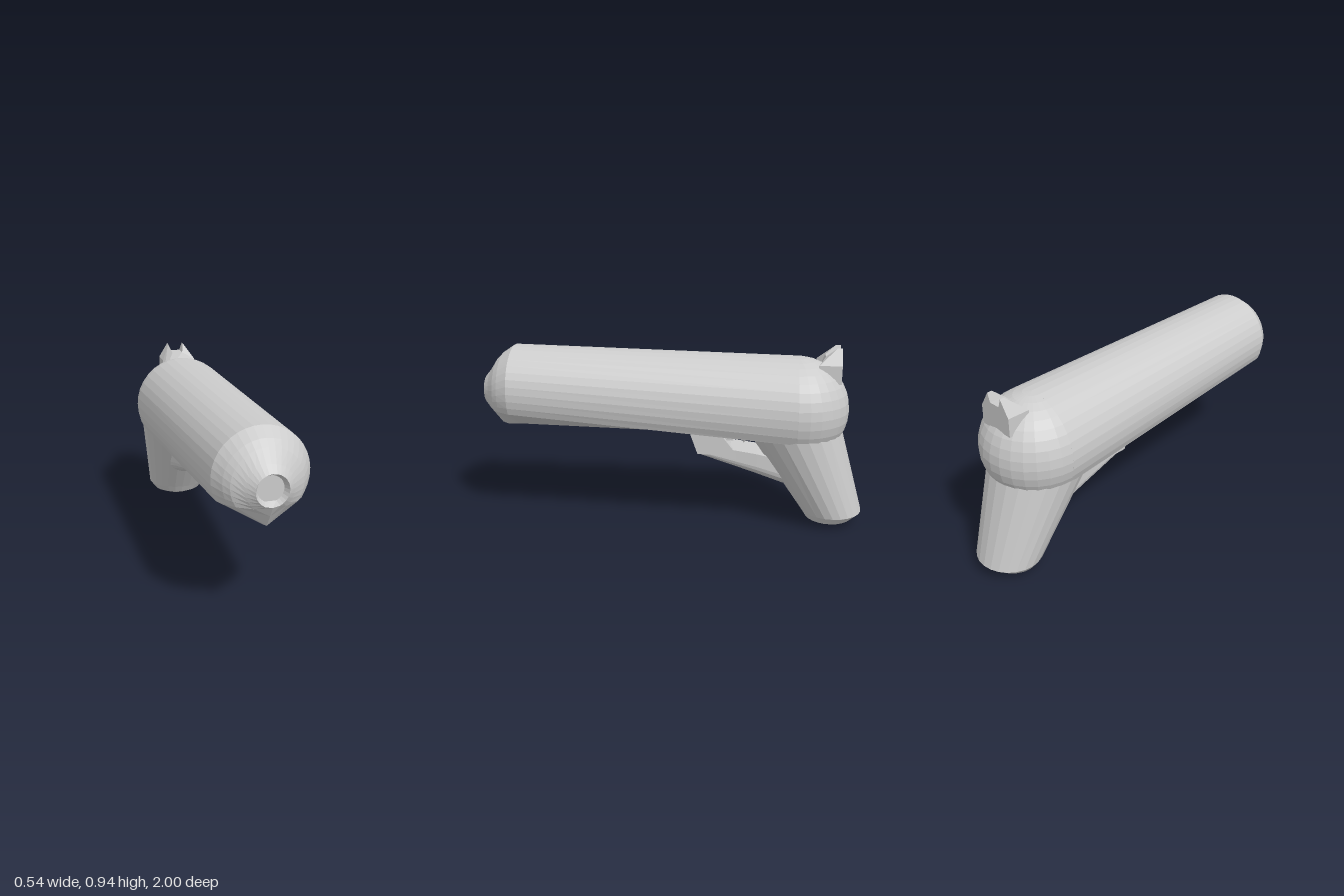
import * as THREE from 'three';

const material = new THREE.MeshStandardMaterial({ color: 0xcccccc, flatShading: true });

// Skins closed rings of points and closes both ends with fans.
function loft(rings) {
  const n = rings[0].length;
  const pos = rings.flat(2);
  const index = [];
  for (let i = 0; i < rings.length - 1; i++) {
    for (let j = 0; j < n; j++) {
      const a = i * n + j, b = i * n + (j + 1) % n;
      index.push(a, a + n, b, b, a + n, b + n);
    }
  }
  for (const [k, flip] of [[0, false], [rings.length - 1, true]]) {
    const c = pos.length / 3;
    for (let d = 0; d < 3; d++) pos.push(rings[k].reduce((s, p) => s + p[d], 0) / n);
    for (let j = 0; j < n; j++) {
      const a = k * n + j, b = k * n + (j + 1) % n;
      index.push(c, flip ? b : a, flip ? a : b);
    }
  }
  const g = new THREE.BufferGeometry();
  g.setAttribute('position', new THREE.Float32BufferAttribute(pos, 3));
  g.setIndex(index);
  g.computeVertexNormals();
  return g;
}

// Round-topped section with a shallow V keel underneath.
function bodyRing([z, cy, r, edgeY, keelY]) {
  const a = Math.asin(Math.max(-0.9, (edgeY - cy) / r));
  const ring = [];
  for (let i = 0; i <= 24; i++) {
    const t = a + (Math.PI - 2 * a) * i / 24;
    ring.push([r * Math.cos(t), cy + r * Math.sin(t), z]);
  }
  ring.push([0, keelY, z]);
  return ring;
}

function gripRing([y, cz, rx, rz]) {
  return Array.from({ length: 24 }, (_, i) => {
    const t = i / 24 * Math.PI * 2;
    return [rx * Math.cos(t), y, cz - rz * Math.sin(t)];
  });
}

// Flat-topped section with a rounded belly.
function guardRing([z, w, top, bottom, depth]) {
  const ring = [[w, top, z], [-w, top, z]];
  for (let i = 0; i <= 10; i++) {
    const t = Math.PI + Math.PI * i / 10;
    ring.push([w * Math.cos(t), bottom + depth * (1 + Math.sin(t)), z]);
  }
  return ring;
}

function polygon(points) {
  return new THREE.Shape(points.map(([x, y]) => new THREE.Vector2(x, y)));
}

export function createModel() {
  const model = new THREE.Group();
  const add = (name, geometry, x = 0, y = 0, z = 0) => {
    const mesh = new THREE.Mesh(geometry, material);
    mesh.name = name;
    mesh.position.set(x, y, z);
    model.add(mesh);
    return mesh;
  };

  // Tapered barrel, domed nose with a chin, and a shallow muzzle recess
  add('barrel', loft([
    [0.97, 0.685, 0.06, 0.6, 0.63],
    [1.0, 0.685, 0.075, 0.6, 0.61],
    [0.97, 0.685, 0.11, 0.6, 0.56],
    [0.93, 0.69, 0.165, 0.6, 0.5],
    [0.9, 0.695, 0.19, 0.6, 0.49],
    [0.84, 0.7, 0.225, 0.6, 0.492],
    [-0.635, 0.62, 0.27, 0.49, 0.46],
  ].map(bodyRing)));

  // Round rear end
  add('rearDome', new THREE.SphereGeometry(0.27, 28, 18), 0, 0.62, -0.635);

  // Raked grip with a rounded butt
  add('grip', loft([
    [0.52, -0.622, 0.245, 0.252],
    [0.07, -0.84, 0.172, 0.16],
    [0.03, -0.83, 0.14, 0.125],
    [0.008, -0.825, 0.085, 0.075],
    [0, -0.82, 0.03, 0.03],
  ].map(gripRing)));

  // Trigger guard: rounded bar running back into the grip
  add('triggerGuard', loft([
    [-0.13, 0.085, 0.395, 0.365, 0.028],
    [-0.3, 0.092, 0.41, 0.308, 0.045],
    [-0.44, 0.097, 0.39, 0.26, 0.06],
    [-0.58, 0.1, 0.36, 0.21, 0.07],
  ].map(guardRing)));

  // Guard posts on each side, with a recessed web between them
  const post = new THREE.ExtrudeGeometry(polygon([
    [0.09, 0.49], [0.25, 0.49], [0.36, 0.35], [0.23, 0.38], [0.13, 0.38],
  ]), { depth: 0.028, bevelEnabled: false });
  post.rotateY(Math.PI / 2);
  add('guardPostLeft', post, 0.065);
  add('guardPostRight', post, -0.093);
  add('guardWeb', new THREE.BoxGeometry(0.14, 0.1, 0.1), 0, 0.44, -0.22);

  // Trigger
  const trigger = add('trigger', new THREE.ConeGeometry(0.035, 0.05, 4), 0, 0.445, -0.37);
  trigger.rotation.x = Math.PI;

  // Notched rear sight with a sloping front
  const sight = new THREE.ExtrudeGeometry(polygon([
    [-0.095, 0.77], [0.095, 0.77], [0.095, 0.865], [0.045, 0.945], [0.03, 0.9],
    [-0.03, 0.9], [-0.045, 0.945], [-0.095, 0.865],
  ]), { depth: 0.12, bevelEnabled: false });
  const p = sight.attributes.position;
  for (let i = 0; i < p.count; i++) {
    const lean = 1.2 * Math.max(0, p.getY(i) - 0.87);
    p.setZ(i, p.getZ(i) > 0.06 ? -0.735 - lean : -0.85);
  }
  sight.computeVertexNormals();
  add('rearSight', sight);

  return model;
}
